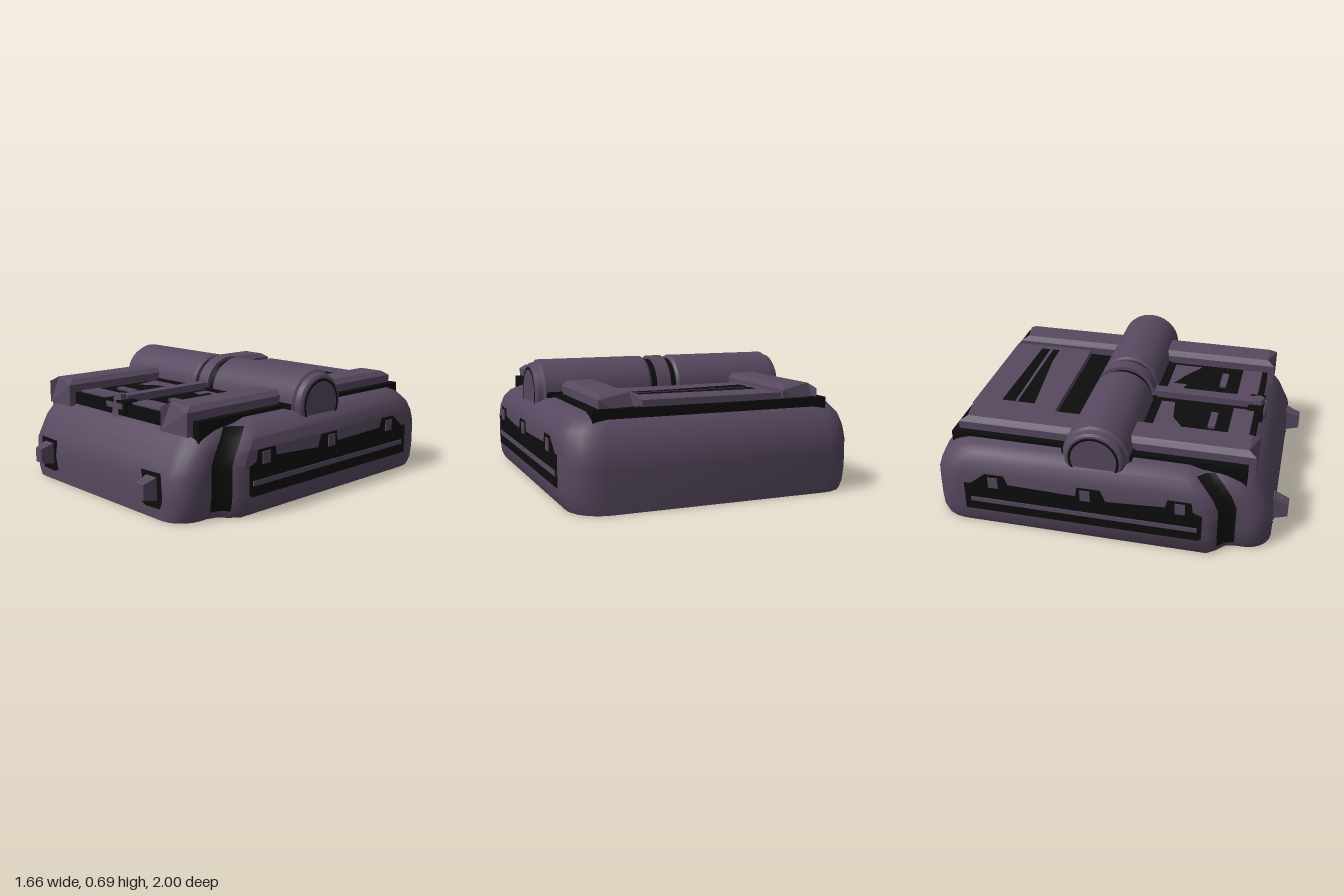
import * as THREE from 'three';
import { toCreasedNormals } from 'three/addons/utils/BufferGeometryUtils.js';

const purple = new THREE.MeshStandardMaterial({ color: 0x57485f });
purple.name = 'dusty purple';
const black = new THREE.MeshStandardMaterial({ color: 0x0d0d0d });
black.name = 'black';

export function createModel() {
  const model = new THREE.Group();
  const add = (name, geo, mat = purple, x = 0, y = 0, z = 0) => {
    const m = new THREE.Mesh(geo, mat);
    m.name = name;
    m.position.set(x, y, z);
    model.add(m);
    return m;
  };
  const box = (name, mat, x0, x1, y0, y1, z0, z1) =>
    add(name, new THREE.BoxGeometry(x1 - x0, y1 - y0, z1 - z0), mat, (x0 + x1) / 2, (y0 + y1) / 2, (z0 + z1) / 2);
  const flat = pts => new THREE.ShapeGeometry(new THREE.Shape(pts.map(p => new THREE.Vector2(...p))));
  // horizontal plate from [x, z] points
  const topPlate = (name, mat, y, pts) =>
    add(name, flat(pts.map(([x, z]) => [x, -z])).rotateX(-Math.PI / 2), mat, 0, y, 0);

  add('body', bodyGeometry(), [purple, black]);

  // dark deck on the roof
  box('deck', black, -0.67, 0.67, 0.38, 0.51, -0.9, 0.77);
  box('rollBed', black, -0.72, 0.72, 0.4, 0.52, -0.24, 0.15);

  // rear roof panel with dark insets
  box('rearPanel', purple, -0.4, 0.4, 0.49, 0.545, -0.88, -0.38);
  topPlate('rearInset', black, 0.549, [[-0.34, -0.72], [0.35, -0.7], [0.35, -0.645], [-0.34, -0.64]]);
  topPlate('rearInset', black, 0.549, [[-0.34, -0.625], [0.35, -0.625], [0.35, -0.58], [0.2, -0.58], [-0.34, -0.52]]);

  // front roof details
  topPlate('frontPatch', purple, 0.514, [[-0.4, 0.19], [-0.08, 0.19], [-0.08, 0.27], [-0.25, 0.29], [-0.35, 0.36]]);
  topPlate('frontPatch', purple, 0.514, [[0.08, 0.19], [0.39, 0.19], [0.39, 0.36], [0.25, 0.27], [0.15, 0.22], [0.15, 0.3], [0.08, 0.28]]);
  for (const s of [-1, 1]) {
    box('roofSlot', purple, s * 0.24 - 0.08, s * 0.24 + 0.08, 0.5, 0.525, 0.5, 0.54);
    box('frontLip', purple, s * 0.24 - 0.16, s * 0.24 + 0.16, 0.47, 0.52, 0.62, 0.74);
  }
  box('centreStrap', purple, -0.035, 0.035, 0.48, 0.55, 0.12, 0.73);
  box('buckleBase', black, -0.09, 0.09, 0.45, 0.53, 0.7, 0.79);
  const buckle = new THREE.CylinderGeometry(0.035, 0.055, 0.12, 6).toNonIndexed();
  buckle.computeVertexNormals();
  add('buckle', buckle, purple, 0, 0.5, 0.755);
  box('buckleBar', purple, -0.07, 0.07, 0.485, 0.515, 0.74, 0.8);

  // bevelled long straps
  const section = new THREE.Shape([[-0.105, 0.43], [0.105, 0.43], [0.105, 0.555], [0.075, 0.582], [-0.075, 0.582], [-0.105, 0.555]]
    .map(p => new THREE.Vector2(...p)));
  for (const s of [-1, 1]) {
    const geo = new THREE.ExtrudeGeometry(section, { depth: 1.68, bevelEnabled: false });
    geo.translate(0, 0, -0.87);
    const p = geo.attributes.position;
    for (let i = 0; i < p.count; i++) if (p.getY(i) > 0.57) p.setZ(i, p.getZ(i) - Math.sign(p.getZ(i)) * 0.045);
    geo.computeVertexNormals();
    add('longStrap', geo, purple, s * 0.525, 0, 0);
  }

  // bedroll lying across the roof
  const roll = (name, mat, r, x0, x1) =>
    add(name, new THREE.CylinderGeometry(r, r, x1 - x0, 40).rotateZ(Math.PI / 2), mat, (x0 + x1) / 2, 0.505, -0.045);
  roll('rollCore', black, 0.165, -0.1, 0.1);
  roll('rollBand', purple, 0.185, -0.04, 0.04);
  for (const s of [-1, 1]) {
    const profile = [[0, 0.08], [0.175, 0.08], [0.185, 0.095], [0.185, 0.725], [0.172, 0.735], [0.165, 0.765], [0.152, 0.775], [0, 0.775]]
      .map(([r, x]) => new THREE.Vector2(r, x));
    const geo = toCreasedNormals(new THREE.LatheGeometry(profile, 40).rotateZ(-s * Math.PI / 2), 0.5);
    add('rollHalf', geo, purple, 0, 0.505, -0.045);
    const ring = new THREE.RingGeometry(0.128, 0.142, 40).rotateY(s * Math.PI / 2);
    add('rollEndRing', ring, black, s * 0.778, 0.505, -0.045);
  }

  for (const s of [-1, 1]) {
    // side recess, rail and studs
    const pts = [[0.56, 0.12], [0.56, 0.27], [0.51, 0.29], [0.5, 0.35], [0.37, 0.35], [0.36, 0.3], [0.03, 0.28], [0, 0.35], [-0.13, 0.35],
      [-0.14, 0.29], [-0.53, 0.3], [-0.55, 0.355], [-0.66, 0.355], [-0.75, 0.28], [-0.79, 0.28], [-0.79, 0.105], [0.54, 0.105]];
    const geo = flat(pts.map(([z, y]) => [-s * z, y])).rotateY(s * Math.PI / 2);
    add('sideRecess', geo, black, s * 0.823, 0, 0);
    box('sideRail', purple, s * 0.823 - 0.006, s * 0.823 + 0.006, 0.163, 0.19, -0.755, 0.535);
    for (const z of [0.44, -0.085, -0.615]) {
      box('sideStud', purple, s * 0.815 - 0.015, s * 0.815 + 0.015, 0.27, 0.335, z - 0.028, z + 0.028);
    }

    // front hooks: tapered four-sided pegs with a dark surround
    add('hookSurround', flat([[-0.08, 0.07], [-0.04, 0.055], [0.07, 0.06], [0.09, 0.11], [0.08, 0.25], [-0.08, 0.245], [-0.06, 0.15]]
      .map(([x, y]) => [s * x, y])), black, s * 0.475, 0, 0.924);
    const hook = new THREE.BoxGeometry(0.1, 0.15, 0.12);
    const p = hook.attributes.position;
    for (let i = 0; i < p.count; i++) if (p.getZ(i) > 0) {
      p.setX(i, p.getX(i) * 0.6);
      p.setY(i, p.getY(i) * 0.55 - 0.01);
    }
    hook.computeVertexNormals();
    add('frontHook', hook, purple, s * 0.48, 0.165, 0.94);
  }
  return model;
}

// Lofted body: rounded outline with a step near the front, repeated at several heights.
function bodyGeometry() {
  const outline = (w, zf, zb) => {
    const n = w - 0.1, rf = 0.14, rb = 0.18, half = [];
    for (let k = 0; k <= 5; k++) {
      const a = k / 5 * Math.PI / 2;
      half.push([n - rf + rf * Math.sin(a), zf - rf + rf * Math.cos(a)]);
    }
    const zs = Math.min(0.73, zf - rf - 0.01);
    half.push([n, zs], [n + 0.015, zs - 0.05], [n + 0.06, zs - 0.09], [w, zs - 0.14]);
    for (let k = 0; k <= 5; k++) {
      const a = k / 5 * Math.PI / 2;
      half.push([w - rb + rb * Math.cos(a), zb + rb - rb * Math.sin(a)]);
    }
    return [...half, ...half.map(([x, z]) => [-x, z]).reverse()];
  };
  // height, half width, front z, back z
  const layers = [[0, 0.79, 0.92, -1], [0.04, 0.81, 0.92, -1], [0.12, 0.82, 0.92, -1], [0.22, 0.82, 0.915, -1], [0.28, 0.82, 0.885, -0.998],
    [0.35, 0.818, 0.85, -0.975], [0.41, 0.805, 0.805, -0.945], [0.46, 0.77, 0.75, -0.9], [0.49, 0.72, 0.69, -0.85]];
  const pos = [], sides = [], dark = [];
  let n = 0;
  for (const [y, w, zf, zb] of layers) {
    const ring = outline(w, zf, zb);
    n = ring.length;
    for (const [x, z] of ring) pos.push(x, y, z);
  }
  const last = (layers.length - 1) * n, base = pos.length / 3;
  pos.push(0, 0, 0, 0, 0.49, 0);
  for (let j = 0; j < n; j++) {
    const k = (j + 1) % n;
    const step = [6, 7].includes(Math.min(j, n - 2 - j));
    for (let i = 0; i < layers.length - 1; i++) {
      const a = i * n + j, b = i * n + k;
      (step && i > 0 && i < 7 ? dark : sides).push(a, b, b + n, a, b + n, a + n);
    }
    sides.push(base, k, j, base + 1, last + j, last + k);
  }
  const geo = new THREE.BufferGeometry();
  geo.setAttribute('position', new THREE.Float32BufferAttribute(pos, 3));
  geo.setIndex([...sides, ...dark]);
  geo.addGroup(0, sides.length, 0);
  geo.addGroup(sides.length, dark.length, 1);
  const out = toCreasedNormals(geo, 0.7);
  if (!out.groups.length) geo.groups.forEach(g => out.addGroup(g.start, g.count, g.materialIndex));
  return out;
}
